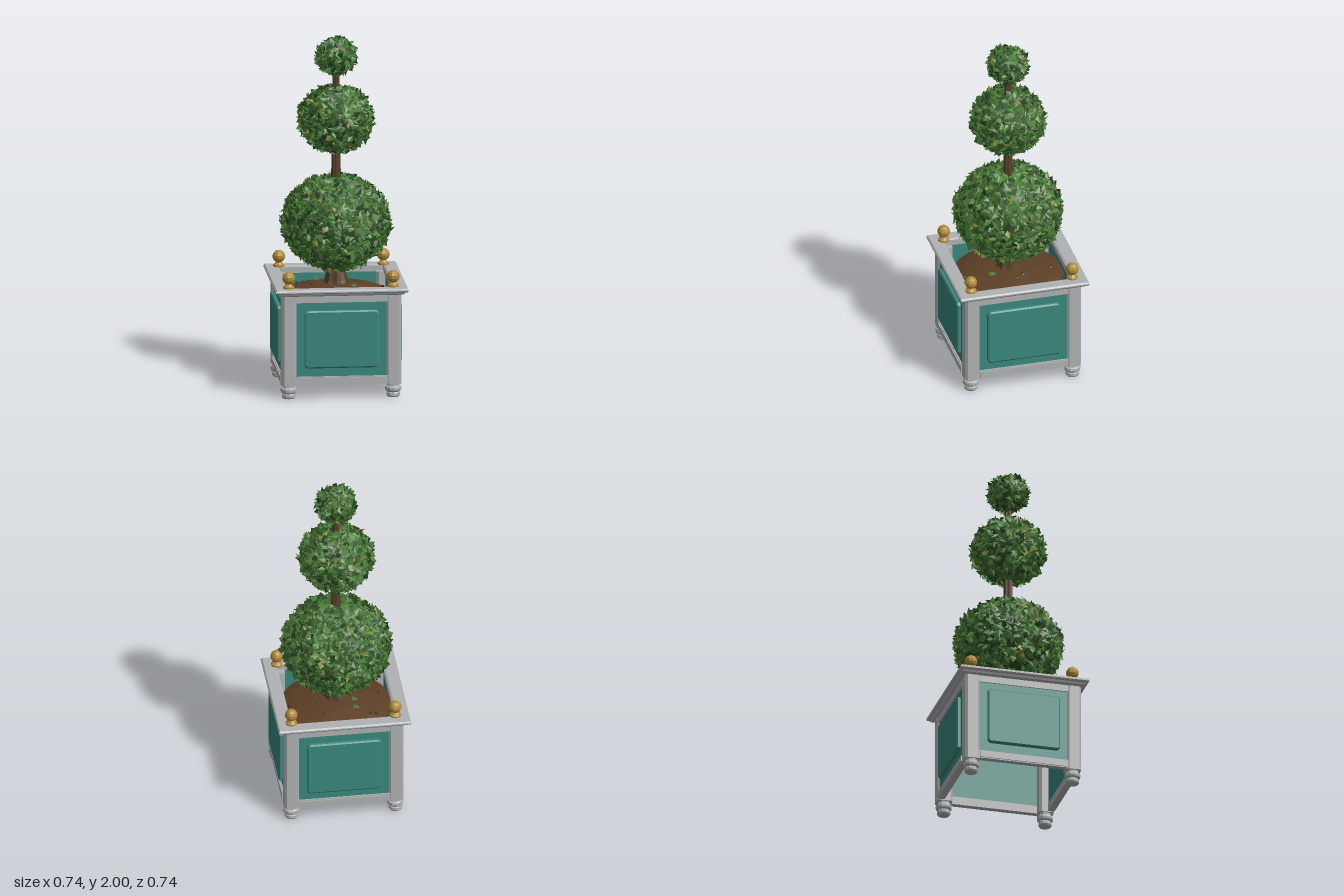
import * as THREE from 'three';

const material = (name, color, side = THREE.FrontSide) => {
  const m = new THREE.MeshStandardMaterial({ color, side });
  m.name = name;
  return m;
};

export function createModel() {
  const grey = material('painted grey', 0xb0b1b2);
  const teal = material('teal panel', 0x39897d);
  const gold = material('gold', 0xb08a36);
  const bark = material('bark', 0x58402a);
  const soilMat = material('soil', 0x5c3f26, THREE.DoubleSide);
  const stone = material('dark pebble', 0x3a2a1c);
  const greens = [
    material('leaf green', 0x4d8038, THREE.DoubleSide),
    material('deep leaf green', 0x3f6b30, THREE.DoubleSide),
    material('shaded leaf green', 0x2c4c24, THREE.DoubleSide),
    material('olive leaf', 0x84883a, THREE.DoubleSide),
  ];

  let seed = 7;
  const rand = (a = 0, b = 1) => {
    seed = (seed * 1664525 + 1013904223) % 4294967296;
    return a + (b - a) * seed / 4294967296;
  };

  const model = new THREE.Group();
  model.name = 'topiaryPlanter';

  // Faceted mesh with one normal per face
  const add = (parent, name, geometry, mat, x = 0, y = 0, z = 0) => {
    const g = geometry.index ? geometry.toNonIndexed() : geometry;
    g.computeVertexNormals();
    const mesh = new THREE.Mesh(g, mat);
    mesh.name = name;
    mesh.position.set(x, y, z);
    parent.add(mesh);
    return mesh;
  };
  const lathe = (points, sides) =>
    new THREE.LatheGeometry(points.map(([r, y]) => new THREE.Vector2(r, y)), sides);

  // Mitred top frame: a moulding profile turned with four sides
  const rim = [[0.335, 0.585], [0.35, 0.592], [0.355, 0.602], [0.366, 0.604], [0.371, 0.61],
    [0.371, 0.617], [0.364, 0.625], [0.302, 0.625], [0.291, 0.618], [0.291, 0.585], [0.335, 0.585]];
  const rimMesh = add(model, 'topFrame',
    lathe(rim.map(([r, y]) => [r * Math.SQRT2, y]), 4), grey);
  rimMesh.rotation.y = Math.PI / 4;

  // Four identical sides: board, raised field and rails
  const box = (w, y0, y1, z0, z1) =>
    new THREE.BoxGeometry(w, y1 - y0, z1 - z0).translate(0, (y0 + y1) / 2, (z0 + z1) / 2);
  const field = new THREE.Shape();
  const fw = 0.2, fy0 = 0.185, fy1 = 0.495, c = 0.008;
  [[-fw + c, fy0], [fw - c, fy0], [fw, fy0 + c], [fw, fy1 - c],
    [fw - c, fy1], [-fw + c, fy1], [-fw, fy1 - c], [-fw, fy0 + c]]
    .forEach(([x, y], i) => (i ? field.lineTo(x, y) : field.moveTo(x, y)));
  for (let i = 0; i < 4; i++) {
    const side = new THREE.Group();
    side.name = 'planterSide';
    side.rotation.y = i * Math.PI / 2;
    add(side, 'sideBoard', box(0.54, 0.1, 0.59, 0.301, 0.324), teal);
    add(side, 'raisedPanel', new THREE.ExtrudeGeometry(field, {
      depth: 0.015, bevelEnabled: true, bevelThickness: 0.006, bevelSize: 0.008, bevelSegments: 1,
    }), teal, 0, 0, 0.329);
    add(side, 'bottomRail', box(0.52, 0.08, 0.127, 0.298, 0.332), grey);
    add(side, 'bottomBead', box(0.5, 0.085, 0.12, 0.332, 0.338), grey);
    add(side, 'topRail', box(0.52, 0.547, 0.59, 0.31, 0.332), grey);
    model.add(side);
  }

  // Chamfered corner posts with turned feet and finials
  const h = 0.043, k = 0.029;
  const postShape = new THREE.Shape([[h, -k], [h, k], [k, h], [-k, h], [-h, k], [-h, -k], [-k, -h], [k, -h]]
    .map(([x, y]) => new THREE.Vector2(x, y)));
  const foot = [[0, 0], [0.033, 0], [0.038, 0.008], [0.038, 0.022], [0.034, 0.028], [0.044, 0.036],
    [0.046, 0.048], [0.044, 0.058], [0.036, 0.064], [0.036, 0.08]];
  const finial = [[0.032, 0.624], [0.032, 0.634], [0.024, 0.64], [0.016, 0.65], [0.016, 0.656]];
  for (const x of [-0.292, 0.292]) for (const z of [-0.292, 0.292]) {
    const corner = new THREE.Group();
    corner.name = 'corner';
    corner.position.set(x, 0, z);
    const post = new THREE.ExtrudeGeometry(postShape, { depth: 0.516, bevelEnabled: false });
    add(corner, 'cornerPost', post.rotateX(-Math.PI / 2), grey, 0, 0.075, 0);
    add(corner, 'foot', lathe(foot, 12), grey);
    add(corner, 'finialBase', lathe(finial, 10), gold);
    add(corner, 'finialBall', new THREE.SphereGeometry(0.036, 10, 7), gold, 0, 0.682, 0);
    model.add(corner);
  }

  // Soil mound with pebbles
  add(model, 'soil', lathe([[0.312, 0.535], [0.25, 0.56], [0.14, 0.585], [0, 0.6]], 24), soilMat);
  for (let i = 0; i < 14; i++) {
    const a = rand(0, Math.PI * 2), r = rand(0.12, 0.27), s = rand(0.008, 0.014);
    const pebble = add(model, 'pebble', new THREE.DodecahedronGeometry(s), stone,
      Math.cos(a) * r, 0.605 - r * 0.18, Math.sin(a) * r);
    pebble.scale.y = 0.7;
  }

  // Ridged trunk with a flared root
  const trunk = lathe([[0.075, 0.57], [0.062, 0.61], [0.05, 0.66], [0.034, 0.75], [0.028, 1.0],
    [0.024, 1.3], [0.021, 1.6], [0.017, 1.88]], 16);
  const tp = trunk.attributes.position;
  for (let i = 0; i < tp.count; i++) {
    const s = 1 + 0.07 * Math.cos(8 * Math.atan2(tp.getZ(i), tp.getX(i)));
    tp.setX(i, tp.getX(i) * s);
    tp.setZ(i, tp.getZ(i) * s);
  }
  add(model, 'trunk', trunk, bark);

  // A leaf is a kite folded along its midrib
  const V = (x, y, z) => new THREE.Vector3(x, y, z);
  const pushLeaf = (out, base, n, dir, length, width) => {
    const s = dir.clone().cross(n).normalize();
    const up = s.clone().cross(dir).normalize();
    const mid = base.clone().addScaledVector(dir, length * 0.42).addScaledVector(up, -length * 0.13);
    const right = mid.clone().addScaledVector(s, width / 2);
    const left = mid.clone().addScaledVector(s, -width / 2);
    const tip = base.clone().addScaledVector(dir, length);
    for (const p of [base, right, tip, base, tip, left]) out.push(p.x, p.y, p.z);
  };
  const leafGeometry = (data) => new THREE.BufferGeometry()
    .setAttribute('position', new THREE.Float32BufferAttribute(data, 3));

  // Clipped foliage balls: dark core under a shell of leaves
  const balls = [
    ['lowerFoliage', 0.935, 0.295, 0.262, 2700, 1],
    ['middleFoliage', 1.522, 0.2, 0.182, 1300, 0.95],
    ['upperFoliage', 1.878, 0.107, 0.1, 420, 0.8],
  ];
  for (const [name, cy, rx, ry, count, size] of balls) {
    const ball = new THREE.Group();
    ball.name = name;
    ball.position.y = cy;
    const core = new THREE.SphereGeometry(1, 20, 14).scale(rx * 0.92, ry * 0.92, rx * 0.92);
    add(ball, 'foliageCore', core, greens[2]);
    const sets = [[], [], [], []];
    for (let i = 0; i < count; i++) {
      const y = THREE.MathUtils.clamp(1 - 2 * (i + rand()) / count, -1, 1);
      const a = i * 2.39996 + rand(-0.3, 0.3), q = Math.sqrt(1 - y * y);
      const out = V(q * Math.cos(a), y, q * Math.sin(a));
      const base = V(rx, ry, rx).multiply(out).multiplyScalar(rand(0.93, 1.01));
      const t = V(rand(-1, 1), rand(-1, 1), rand(-1, 1)).cross(out).normalize();
      const lift = rand(-0.15, 0.6);
      const dir = t.multiplyScalar(Math.cos(lift)).addScaledVector(out, Math.sin(lift));
      const n = out.clone().applyAxisAngle(dir, rand(-0.6, 0.6));
      const pick = rand();
      const set = pick < 0.4 ? 0 : pick < 0.76 ? 1 : pick < 0.96 ? 2 : 3;
      pushLeaf(sets[set], base, n, dir, rand(0.042, 0.058) * size, rand(0.034, 0.046) * size);
    }
    // Crown leaf at the very top
    if (cy > 1.8) pushLeaf(sets[0], V(0, ry - 0.012, 0), V(0, 0, 1), V(0, 1, 0), 2 - cy - ry + 0.012, 0.028);
    sets.forEach((data, i) => add(ball, 'leaves', leafGeometry(data), greens[i]));
    model.add(ball);
  }

  // Fallen leaves on the soil
  const fallen = [];
  for (const [x, z, a] of [[0.07, 0.11, 0.4], [0.1, 0.09, 2.2], [-0.11, -0.08, 1], [-0.08, -0.12, 4]]) {
    pushLeaf(fallen, V(x, 0.6, z), V(0, 1, 0), V(Math.cos(a), 0, Math.sin(a)), 0.05, 0.04);
  }
  add(model, 'fallenLeaves', leafGeometry(fallen), greens[0]);

  return model;
}
